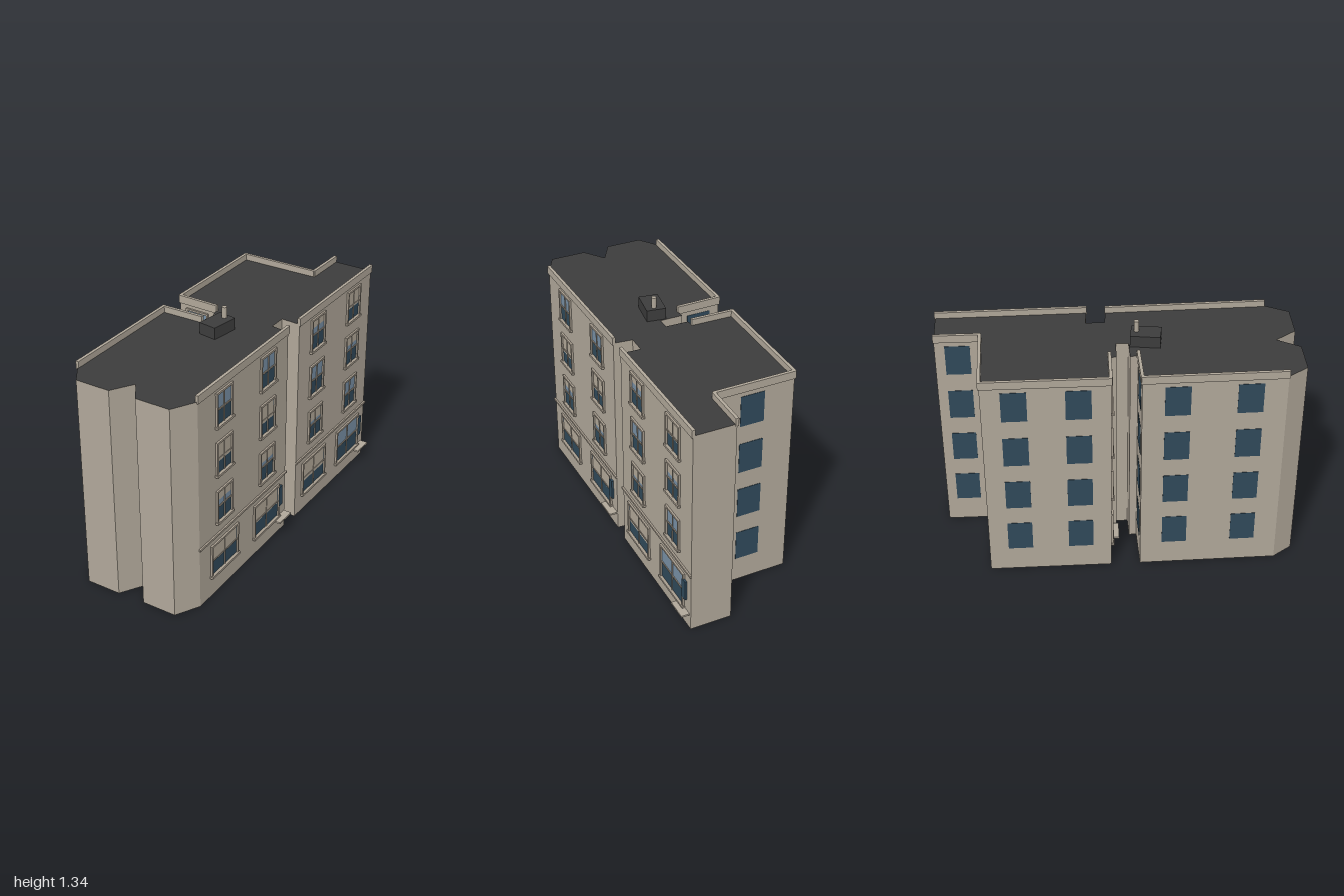
import * as THREE from 'three';

const mat = (name, color) => new THREE.MeshStandardMaterial({ name, color });

export function createModel() {
  const M = {
    wall: mat('stone wall', 0xb0a799),
    trim: mat('stone trim', 0xa69c8e),
    roof: mat('dark roof', 0x3c3c3c),
    glass: mat('dark glass', 0x30495a),
    sky: mat('pale glass', 0x7890a5),
    blind: mat('window blind', 0xb3a999),
  };
  const model = new THREE.Group();
  model.name = 'building';
  const ROOF = 1.215;

  // Footprint [x, z], running along the front from left to right, then round the back
  const P = [
    [-0.77, 0.46], [0.085, 0.315], [0.08, 0.21], [0.18, 0.195], [0.19, 0.305], [0.995, 0.175],
    [0.96, -0.055], [0.72, -0.02], [0.65, -0.465], [-0.01, -0.365], [0.02, -0.13], [-0.015, -0.12],
    [0, 0.005], [-0.065, 0.015], [-0.085, -0.11], [-0.125, -0.1], [-0.165, -0.34], [-0.905, -0.22],
    [-1, -0.13], [-0.97, 0.065], [-0.84, 0.118], [-0.94, 0.215], [-0.91, 0.41],
  ];
  const shape = new THREE.Shape(P.map(([x, z]) => new THREE.Vector2(x, -z)));
  const bodyGeo = new THREE.ExtrudeGeometry(shape, { depth: ROOF, bevelEnabled: false });
  bodyGeo.rotateX(-Math.PI / 2);
  const body = new THREE.Mesh(bodyGeo, [M.roof, M.wall]);
  body.name = 'body';
  model.add(body);

  // Box given by its x range, y range and z range
  function box(parent, name, material, x0, x1, y0, y1, z0, z1) {
    const m = new THREE.Mesh(new THREE.BoxGeometry(x1 - x0, y1 - y0, z1 - z0), material);
    m.position.set((x0 + x1) / 2, (y0 + y1) / 2, (z0 + z1) / 2);
    m.name = name;
    parent.add(m);
    return m;
  }

  // Group on footprint edge i: x runs along the wall, z points outward
  function facade(i, name) {
    const [ax, az] = P[i], [bx, bz] = P[(i + 1) % P.length];
    const g = new THREE.Group();
    g.name = name;
    g.position.set(ax, 0, az);
    g.rotation.y = Math.atan2(az - bz, bx - ax);
    model.add(g);
    const length = Math.hypot(bx - ax, bz - az);
    return { g, length, at: (x) => (x - ax) / (bx - ax) * length };
  }

  const parapet = (f) => box(f.g, 'parapet', M.wall, -0.004, f.length + 0.004, 1.205, 1.25, -0.01, 0.007);

  // Framed sash window; drop is the height of the blind's lower edge (0 for no blind)
  function sash(g, cx, w, y0, y1, drop) {
    const win = new THREE.Group();
    win.name = 'sashWindow';
    win.position.x = cx;
    g.add(win);
    const h = w / 2, t = 0.011, mid = (y0 + y1) / 2, glassW = h - t;
    box(win, 'lowerGlass', M.glass, -glassW, glassW, y0 + t, mid, 0, 0.002);
    box(win, 'upperGlass', M.sky, -glassW, glassW, mid, y1 - t, 0, 0.002);
    if (drop) {
      const b = glassW * 0.93;
      box(win, 'blind', M.blind, -b, b, drop, y1 - t, 0, 0.004);
    }
    for (const s of [-1, 1]) box(win, 'jamb', M.trim, s * (h - t / 2) - t / 2, s * (h - t / 2) + t / 2, y0, y1, 0, 0.011);
    box(win, 'head', M.trim, -h, h, y1 - t, y1, 0, 0.011);
    box(win, 'sill', M.trim, -h - 0.006, h + 0.006, y0 - 0.004, y0 + 0.009, 0, 0.017);
    box(win, 'mullion', M.trim, -0.003, 0.003, y0 + t, y1 - t, 0, 0.007);
    box(win, 'meetingRail', M.trim, -glassW, glassW, mid - 0.004, mid + 0.004, 0, 0.007);
  }

  const stringCourse = (f) => box(f.g, 'stringCourse', M.trim, -0.005, f.length + 0.005, 0.35, 0.362, 0, 0.01);

  // Entrance: narrow glazed panel beside the window and a projecting slab
  function entrance(g, panelX, slabX, y) {
    box(g, 'entrancePanel', M.glass, panelX - 0.018, panelX + 0.018, y + 0.075, y + 0.195, 0, 0.012);
    box(g, 'entranceSlab', M.wall, slabX - 0.06, slabX + 0.06, y - 0.006, y + 0.004, 0, 0.046);
  }

  // Two street facades: upper columns with blind heights, then ground windows
  const rows = [[0.99, 1.185], [0.71, 0.905], [0.425, 0.62]];
  const fronts = [
    { edge: 0, cols: [[-0.54, [0, 0.79, 0.56]], [-0.12, [0, 0.79, 0.55]]],
      ground: [[-0.54, 0.265, 0.12, 0.21], [-0.118, 0.268, 0.105, 0.2]], door: [0.022, 0.02, 0.1] },
    { edge: 4, cols: [[0.39, [1.13, 0, 0.545]], [0.793, [1.075, 0.84, 0]]],
      ground: [[0.39, 0.265, 0.105, 0.19], [0.79, 0.272, 0.095, 0]], door: [0.932, 0.922, 0.09] },
  ];
  for (const { edge, cols, ground, door } of fronts) {
    const f = facade(edge, 'streetFacade');
    parapet(f);
    stringCourse(f);
    for (const [x, drops] of cols)
      rows.forEach(([y0, y1], r) => sash(f.g, f.at(x), 0.152, y0, y1, drops[r]));
    for (const [x, w, y0, drop] of ground) sash(f.g, f.at(x), w, y0, 0.315, drop);
    entrance(f.g, f.at(door[0]), f.at(door[1]), door[2]);
  }

  // Framed window bay inside the rear recess
  const recess = facade(9, 'recessFacade');
  parapet(recess);
  stringCourse(recess);
  rows.forEach(([y0, y1], r) => sash(recess.g, 0.115, 0.145, y0, y1, [0, 0.79, 0.55][r]));
  sash(recess.g, 0.115, 0.145, 0.105, 0.315, 0.2);
  entrance(recess.g, 0.21, 0.165, 0.1);

  // Plain rear and side walls: flat panes at given fractions of the wall length
  const plain = [[6, [0.5]], [7, [0.48]], [8, [0.255, 0.75]], [15, [0.5]], [16, [0.247, 0.748]]];
  for (const [edge, fractions] of plain) {
    const f = facade(edge, 'plainFacade');
    parapet(f);
    for (const s of fractions) for (let r = 0; r < 4; r++) {
      const c = s * f.length, y = 0.145 + 0.285 * r;
      box(f.g, 'plainWindow', M.glass, c - 0.067, c + 0.067, y, y + 0.178, -0.002, 0.002);
    }
  }

  // Rooftop block and flue
  box(model, 'roofBlock', M.roof, -0.235, -0.075, ROOF - 0.005, 1.28, -0.018, 0.088);
  const flue = new THREE.Mesh(new THREE.CylinderGeometry(0.014, 0.014, 0.065, 8), M.wall);
  flue.name = 'flue';
  flue.position.set(-0.105, 1.308, 0.04);
  model.add(flue);

  return model;
}
